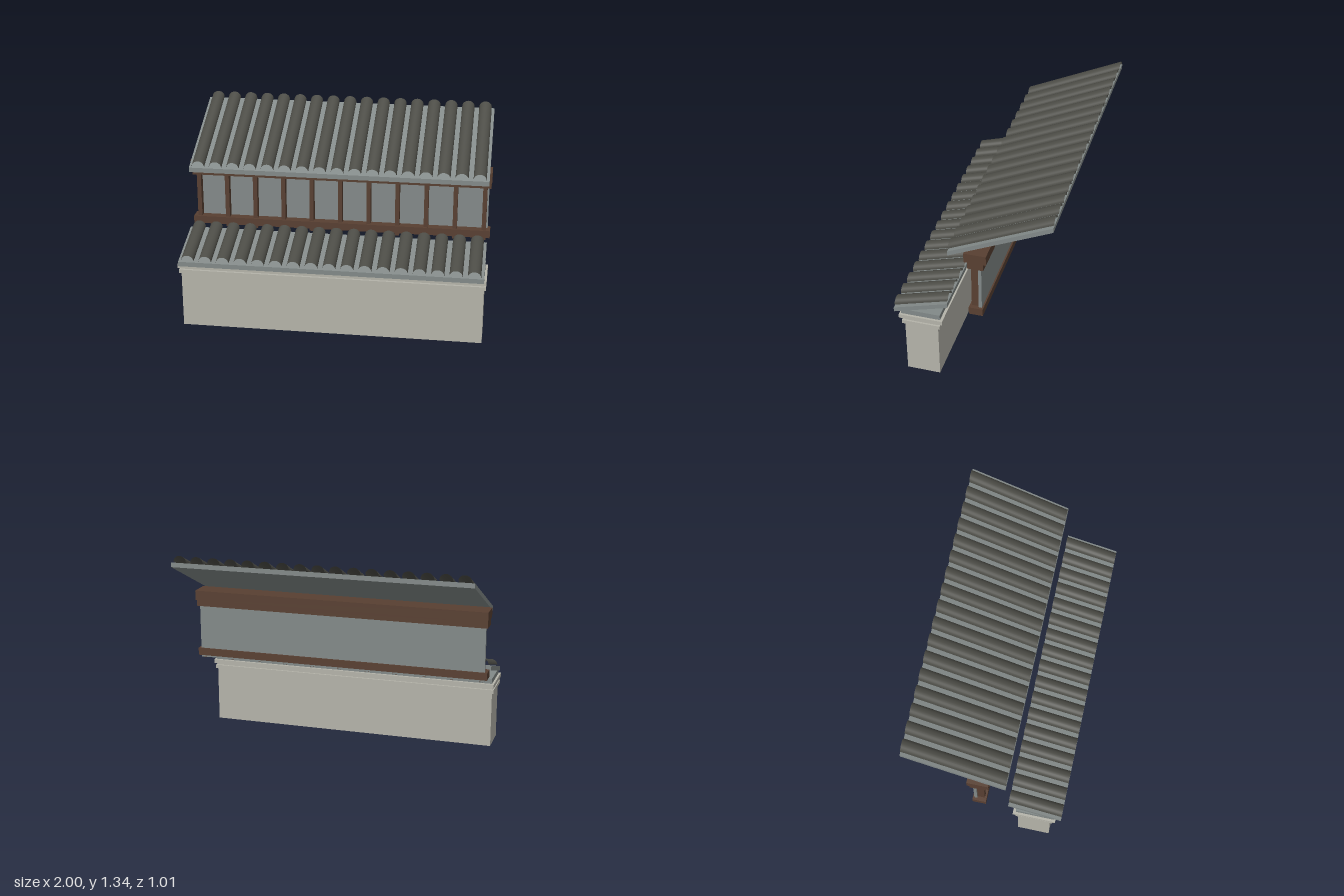
import * as THREE from 'three';

const mat = (name, color, side = THREE.FrontSide) => {
  const m = new THREE.MeshStandardMaterial({ color, side });
  m.name = name;
  return m;
};

export function createModel() {
  const model = new THREE.Group();
  const stone = mat('pale stone', 0xb4b3a9);
  const slate = mat('grey slate', 0x828988);
  const wood = mat('brown wood', 0x583f31);
  const clay = mat('dark roof tile', 0x4c4c46, THREE.DoubleSide);

  // Box given by half width and its y and z ranges
  function box(parent, name, material, halfX, y0, y1, z0, z1, x = 0) {
    const mesh = new THREE.Mesh(new THREE.BoxGeometry(halfX * 2, y1 - y0, z1 - z0), material);
    mesh.position.set(x, (y0 + y1) / 2, (z0 + z1) / 2);
    mesh.name = name;
    parent.add(mesh);
  }

  // Lean a geometry so that y rises towards the back; ends stay vertical
  function shear(geometry, slope) {
    const p = geometry.attributes.position;
    for (let i = 0; i < p.count; i++) p.setY(i, p.getY(i) - p.getZ(i) * slope);
    geometry.computeVertexNormals();
    return geometry;
  }

  // Sloping slab with a row of half-round tiles floating just above it
  function roof(name, zFront, zBack, yFront, yBack) {
    const group = new THREE.Group();
    group.name = name;
    const length = zFront - zBack, slope = (yBack - yFront) / length;
    group.position.set(0, (yFront + yBack) / 2, (zFront + zBack) / 2);

    const slabGeometry = new THREE.BoxGeometry(1.97, 0.031, length).translate(0, 0.0155, 0);
    const slab = new THREE.Mesh(shear(slabGeometry, slope), slate);
    slab.name = 'roofSlab';
    group.add(slab);

    const tileGeometry = new THREE.CylinderGeometry(0.042, 0.042, length, 12, 1, true, Math.PI / 2, Math.PI);
    tileGeometry.rotateX(Math.PI / 2).scale(1, 0.9, 1).translate(0, 0.039, 0);
    shear(tileGeometry, slope);
    for (let i = -8; i <= 8; i++) {
      const tile = new THREE.Mesh(tileGeometry, clay);
      tile.position.x = i * 0.1155;
      tile.name = 'roofTile';
      group.add(tile);
    }
    model.add(group);
  }

  // Stone wall with stepped cornice
  const wall = new THREE.Group();
  wall.name = 'wall';
  box(wall, 'wallBody', stone, 0.985, 0, 0.42, 0.22, 0.437);
  box(wall, 'lowerCornice', stone, 0.997, 0.377, 0.402, 0.206, 0.454);
  box(wall, 'upperCornice', stone, 1, 0.42, 0.447, 0.188, 0.472);
  box(wall, 'roofBed', slate, 0.985, 0.447, 0.482, 0.206, 0.46);
  model.add(wall);

  // Timber screen with posts in front of a plain panel
  const screen = new THREE.Group();
  screen.name = 'timberScreen';
  box(screen, 'topBeam', wood, 1, 0.953, 1.017, -0.103, 0.036);
  box(screen, 'underBeam', wood, 0.997, 0.907, 0.953, -0.085, 0.014);
  box(screen, 'bottomBeam', wood, 1, 0.558, 0.608, -0.078, 0.011);
  box(screen, 'panel', slate, 0.983, 0.545, 0.93, -0.068, -0.048);
  for (let i = -5; i <= 5; i++) {
    box(screen, 'post', wood, 0.014, 0.538, 0.93, -0.053, -0.001, i * 0.1916);
  }
  model.add(screen);

  roof('lowerRoof', 0.508, 0.156, 0.45, 0.557);
  roof('upperRoof', 0.142, -0.504, 0.968, 1.267);
  return model;
}
